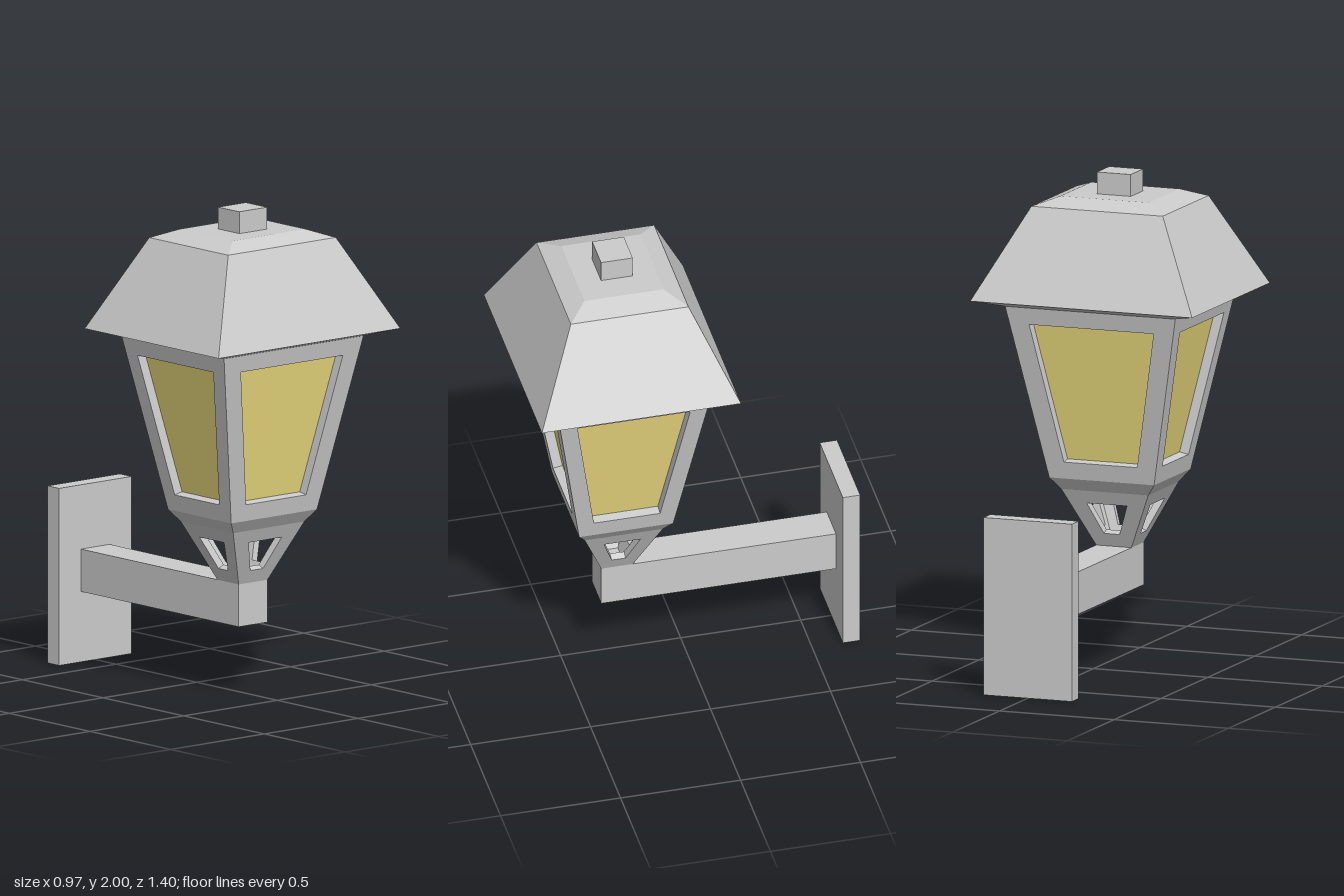
import * as THREE from 'three';

const CZ = 0.284; // lantern axis
const grey = new THREE.MeshStandardMaterial({ color: 0xcccccc });
const amber = new THREE.MeshStandardMaterial({ color: 0xeedd7f });

// Flat-shaded mesh from a list of four-corner faces
function quadMesh(name, quads, material) {
  const pos = [];
  for (const [a, b, c, d] of quads) {
    for (const p of [a, b, c, a, c, d]) pos.push(p.x, p.y, p.z);
  }
  const geo = new THREE.BufferGeometry();
  geo.setAttribute('position', new THREE.Float32BufferAttribute(pos, 3));
  geo.computeVertexNormals();
  const mesh = new THREE.Mesh(geo, material);
  mesh.name = name;
  return mesh;
}

// Point on side k: u to the right, y up, d outward
function sidePoint(k, u, y, d) {
  const [x, z] = [[u, d], [d, -u], [-u, -d], [-d, u]][k];
  return new THREE.Vector3(x, y, z);
}

// Corners of a side trapezoid, anticlockwise seen from outside
const trapezoid = (k, y0, u0, d0, y1, u1, d1) => [
  sidePoint(k, -u0, y0, d0), sidePoint(k, u0, y0, d0),
  sidePoint(k, u1, y1, d1), sidePoint(k, -u1, y1, d1),
];

// Faces joining one corner loop to the loop inside it
const ring = (outer, inner) => outer.map((p, i) => {
  const j = (i + 1) % 4;
  return [p, outer[j], inner[j], inner[i]];
});

// Rectangular tiers [y, halfX, halfZ] listed from the bottom up
function loft(name, tiers, capTop, capBottom) {
  const quads = [];
  const level = ([y, hx, hz]) => [
    new THREE.Vector3(-hx, y, hz), new THREE.Vector3(hx, y, hz),
    new THREE.Vector3(hx, y, -hz), new THREE.Vector3(-hx, y, -hz),
  ];
  for (let i = 0; i < tiers.length - 1; i++) quads.push(...ring(level(tiers[i]), level(tiers[i + 1])));
  if (capTop) quads.push(level(tiers[tiers.length - 1]));
  if (capBottom) quads.push(level(tiers[0]).reverse());
  return quadMesh(name, quads, grey);
}

// Tapered four-sided shell with a trapezoid opening in each side.
// hole = { y0, y1, x: [bottom, top], z: [bottom, top] }, depth = wall thickness
function piercedShell(name, low, high, hole, depth, glazed) {
  const group = new THREE.Group();
  group.name = name;
  const frame = [], panes = [];
  for (let k = 0; k < 4; k++) {
    const [iu, id] = k % 2 ? [2, 1] : [1, 2];
    const [y0, y1] = [low[0], high[0]];
    const slope = (high[id] - low[id]) / (y1 - y0);
    const dAt = (y) => low[id] + slope * (y - y0);
    const w = k % 2 ? hole.z : hole.x;
    const edge = trapezoid(k, y0, low[iu], low[id], y1, high[iu], high[id]);
    const cut = trapezoid(k, hole.y0, w[0], dAt(hole.y0), hole.y1, w[1], dAt(hole.y1));
    const len = Math.hypot(1, slope);
    const inward = sidePoint(k, 0, slope * depth / len, -depth / len);
    const back = cut.map((p) => p.clone().add(inward));
    frame.push(...ring(edge, cut), ...ring(cut, back));
    if (glazed) {
      panes.push(back);
    } else {
      // inner skin of the open wall
      const t = depth * len;
      const inner = trapezoid(k, y0, low[iu] - t, low[id] - t, y1, high[iu] - t, high[id] - t);
      frame.push(...ring(back, inner));
    }
  }
  group.add(quadMesh(name + 'Frame', frame, grey));
  if (glazed) group.add(quadMesh('glassPanes', panes, amber));
  return group;
}

function box(name, x, y, z, w, h, d) {
  const mesh = new THREE.Mesh(new THREE.BoxGeometry(w, h, d), grey);
  mesh.name = name;
  mesh.position.set(x, y, z);
  return mesh;
}

export function createModel() {
  const model = new THREE.Group();
  model.name = 'wallLantern';

  const lantern = new THREE.Group();
  lantern.name = 'lantern';
  lantern.position.z = CZ;
  model.add(lantern);

  const eave = [1.47, 0.372, 0.318];
  const sill = [0.755, 0.229, 0.196];
  const neck = [0.705, 0.19, 0.163];
  const foot = [0.465, 0.077, 0.066];

  // Hood with its sloping underside, and the finial block
  lantern.add(loft('roof', [eave, [1.5, 0.485, 0.415], [1.875, 0.287, 0.245], [1.91, 0.193, 0.165]], true, true));
  lantern.add(box('finial', 0, 1.95, 0, 0.148, 0.1, 0.132));

  // Glazed lamp housing
  lantern.add(piercedShell('housing', sill, eave,
    { y0: 0.825, y1: 1.4, x: [0.16, 0.272], z: [0.138, 0.235] }, 0.04, true));
  lantern.add(loft('housingBase', [neck, sill], false, true));

  // Open basket under the housing
  lantern.add(piercedShell('basket', foot, neck,
    { y0: 0.52, y1: 0.65, x: [0.034, 0.088], z: [0.029, 0.076] }, 0.03, false));

  // Bracket arm and wall plate
  model.add(box('arm', 0, 0.3775, -0.14, 0.154, 0.175, 0.98));
  model.add(box('wallPlate', 0, 0.365, -0.664, 0.386, 0.73, 0.072));
  return model;
}
